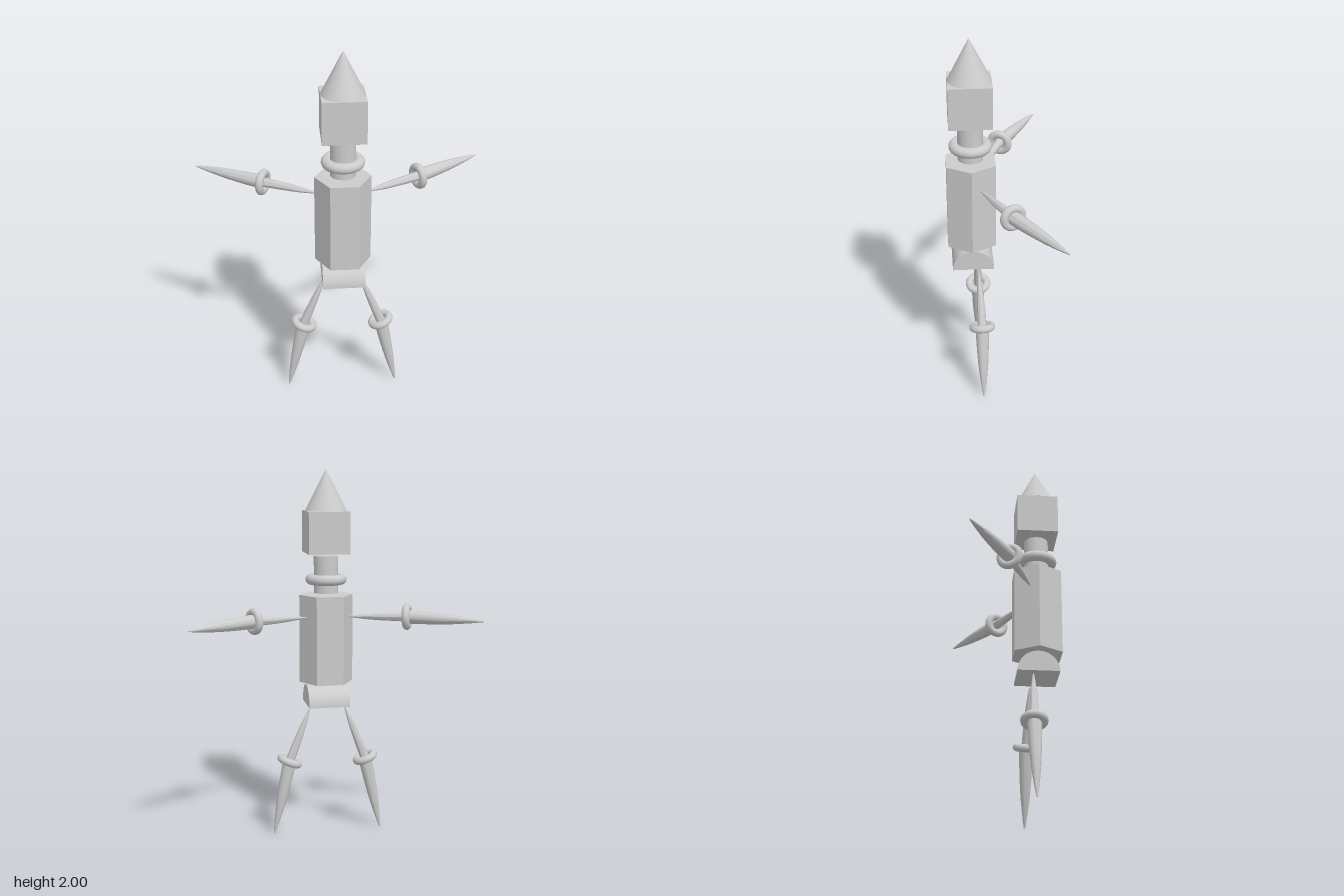
import * as THREE from 'three';
import { toCreasedNormals } from 'three/addons/utils/BufferGeometryUtils.js';

const X = -0.005, Z = 0.147; // body axis

export function createModel() {
  const model = new THREE.Group();
  model.name = 'figure';
  const material = new THREE.MeshStandardMaterial({ color: 0xcccccc });

  const add = (name, geometry, x, y, z, parent = model) => {
    const mesh = new THREE.Mesh(geometry, material);
    mesh.name = name;
    mesh.position.set(x, y, z);
    parent.add(mesh);
    return mesh;
  };

  // Head, hat and neck
  add('hat', new THREE.ConeGeometry(0.112, 0.22, 48), X, 1.89, Z);
  add('head', new THREE.BoxGeometry(0.224, 0.224, 0.224), X, 1.667, Z);
  add('neck', new THREE.CylinderGeometry(0.066, 0.066, 0.2, 48), X, 1.44, Z);
  add('collar', new THREE.TorusGeometry(0.084, 0.028, 20, 48), X, 1.413, Z).rotation.x = Math.PI / 2;

  // Six-sided torso with corners pointing sideways
  const torso = new THREE.CylinderGeometry(0.147, 0.147, 0.48, 6).rotateY(Math.PI / 2);
  add('torso', toCreasedNormals(torso, 0.3), X, 1.09, Z);

  // Hips: half cylinder lying across, flat side down
  const half = new THREE.Shape();
  half.absarc(0, 0, 0.111, 0, Math.PI);
  half.closePath();
  const hips = new THREE.ExtrudeGeometry(half, { depth: 0.224, bevelEnabled: false, curveSegments: 32 });
  hips.translate(0, 0, -0.112).rotateY(Math.PI / 2);
  add('hips', toCreasedNormals(hips, 0.5), X, 0.724, 0.143);

  // Tapered limb segment: radius profile given as [fraction of length, radius]
  const taper = (profile, length) => {
    const curve = new THREE.SplineCurve(profile.map(([t, r]) => new THREE.Vector2(r, t * length)));
    const points = [new THREE.Vector2(0, 0), ...curve.getPoints(20), new THREE.Vector2(0, length)];
    return toCreasedNormals(new THREE.LatheGeometry(points, 32), 0.7);
  };
  const upperProfile = [[0, 0.003], [0.15, 0.009], [0.4, 0.017], [0.7, 0.022], [1, 0.025]];
  const lowerProfile = [[0, 0.037], [0.3, 0.033], [0.6, 0.025], [0.85, 0.013], [1, 0.004]];
  const up = new THREE.Vector3(0, 1, 0);

  // Limb from root to joint to tip, with a ring around the joint
  const limb = (name, upper, joint, lower, root, mid, tip) => {
    const group = new THREE.Group();
    group.name = name;
    model.add(group);
    const [a, b, c] = [root, mid, tip].map((p) => new THREE.Vector3(...p));
    const d1 = b.clone().sub(a), d2 = c.clone().sub(b);
    const l1 = d1.length(), l2 = d2.length();
    d1.normalize();
    d2.normalize();
    add(upper, taper(upperProfile, l1), ...root, group).quaternion.setFromUnitVectors(up, d1);
    add(lower, taper(lowerProfile, l2), ...mid, group).quaternion.setFromUnitVectors(up, d2);
    add(joint, new THREE.TorusGeometry(0.05, 0.021, 16, 40), ...mid, group)
      .quaternion.setFromUnitVectors(new THREE.Vector3(0, 0, 1), d1);
  };

  limb('leftArm', 'upperArm', 'elbowRing', 'forearm', [0.115, 1.212, 0.1], [0.41, 1.222, -0.042], [0.76, 1.22, -0.277]);
  limb('rightArm', 'upperArm', 'elbowRing', 'forearm', [-0.122, 1.212, 0.1], [-0.412, 1.222, -0.033], [-0.765, 1.22, -0.253]);
  limb('leftLeg', 'thigh', 'kneeRing', 'shin', [0.09, 0.71, 0.115], [0.207, 0.413, 0.105], [0.296, 0.002, 0.103]);
  limb('rightLeg', 'thigh', 'kneeRing', 'shin', [-0.102, 0.71, 0.115], [-0.217, 0.413, 0.105], [-0.306, 0.002, 0.105]);

  return model;
}
